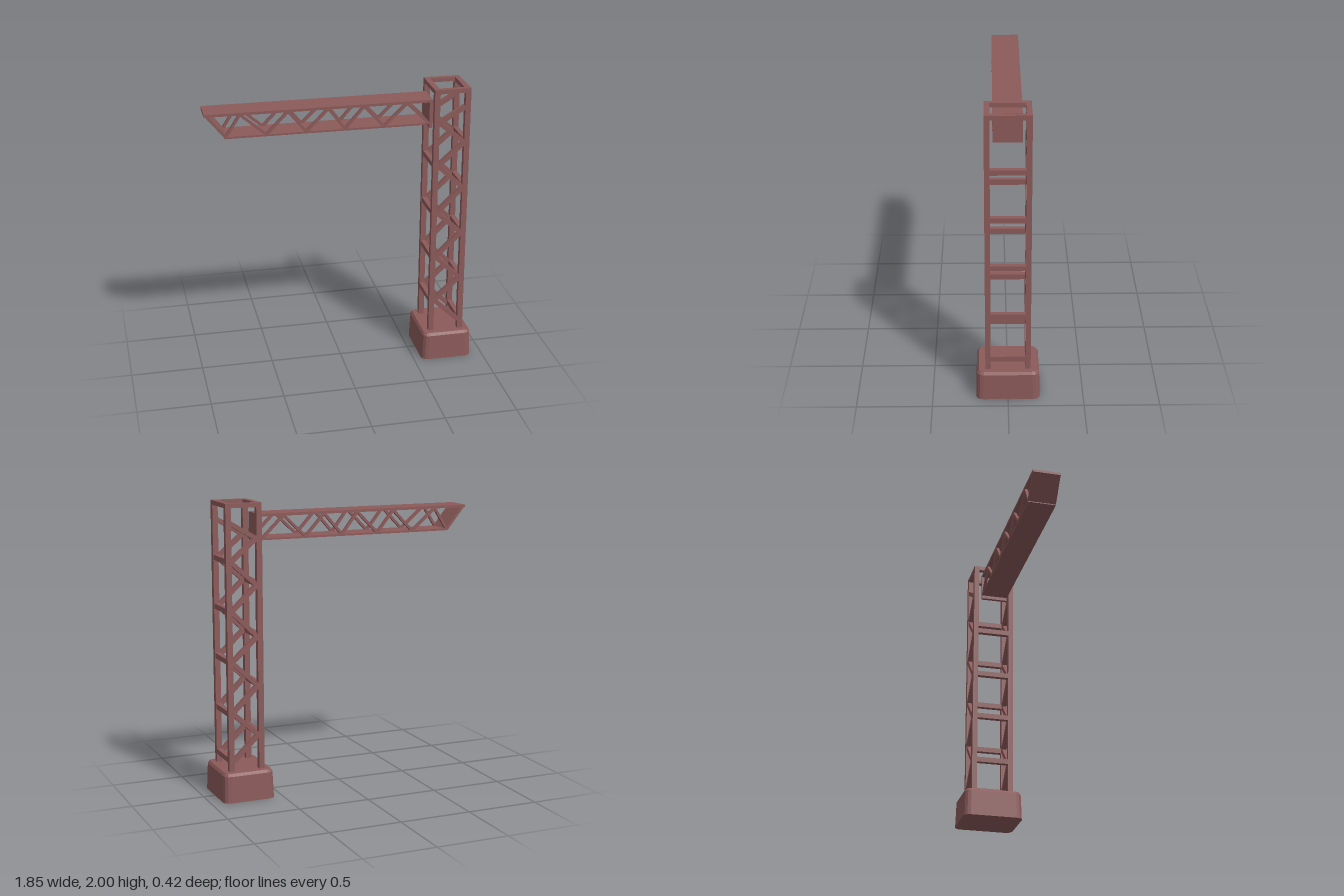
import * as THREE from 'three';
import { mergeVertices } from 'three/addons/utils/BufferGeometryUtils.js';

const material = new THREE.MeshStandardMaterial({ color: 0x8c5a5a, flatShading: true });

function box(parent, name, x0, x1, y0, y1, z0, z1) {
  const mesh = new THREE.Mesh(new THREE.BoxGeometry(x1 - x0, y1 - y0, z1 - z0), material);
  mesh.position.set((x0 + x1) / 2, (y0 + y1) / 2, (z0 + z1) / 2);
  mesh.name = name;
  parent.add(mesh);
  return mesh;
}

// Straight bar in a vertical plane, from point a to point b
function bar(parent, name, a, b, thickness, z, depth) {
  const dx = b[0] - a[0], dy = b[1] - a[1];
  const mesh = new THREE.Mesh(new THREE.BoxGeometry(Math.hypot(dx, dy), thickness, depth), material);
  mesh.position.set((a[0] + b[0]) / 2, (a[1] + b[1]) / 2, z);
  mesh.rotation.z = Math.atan2(dy, dx);
  mesh.name = name;
  parent.add(mesh);
}

// Bars joining consecutive nodes, mirrored front and back
function zigzag(parent, name, nodes, thickness, z, depth) {
  for (const side of [-1, 1])
    for (let i = 0; i < nodes.length - 1; i++)
      bar(parent, name, nodes[i], nodes[i + 1], thickness, side * z, depth);
}

// Tapered block with rounded corners, lofted through [y, halfX, halfZ, radius]
function blockGeometry(rings) {
  const steps = 3, n = 4 * (steps + 1), pos = [], index = [];
  for (const [y, hx, hz, r] of rings)
    for (let c = 0; c < 4; c++)
      for (let s = 0; s <= steps; s++) {
        const a = (c + s / steps) * Math.PI / 2;
        const sx = c === 0 || c === 3 ? 1 : -1, sz = c < 2 ? 1 : -1;
        pos.push(sx * (hx - r) + r * Math.cos(a), y, sz * (hz - r) + r * Math.sin(a));
      }
  for (let k = 0; k < rings.length - 1; k++)
    for (let i = 0; i < n; i++) {
      const a = k * n + i, b = k * n + (i + 1) % n;
      index.push(a, a + n, b, b, a + n, b + n);
    }
  const top = (rings.length - 1) * n;
  for (let i = 1; i < n - 1; i++) {
    index.push(0, i, i + 1);
    index.push(top, top + i + 1, top + i);
  }
  const g = new THREE.BufferGeometry();
  g.setAttribute('position', new THREE.Float32BufferAttribute(pos, 3));
  g.setIndex(index);
  const merged = mergeVertices(g);
  merged.computeVertexNormals();
  return merged;
}

function createTower() {
  const tower = new THREE.Group();
  tower.name = 'tower';
  const xs = [[0.612, 0.65], [0.825, 0.863]], zi = 0.114, zo = 0.15;

  // Four corner posts and the top frame
  for (const [x0, x1] of xs) {
    box(tower, 'post', x0, x1, 0.18, 2, zi, zo);
    box(tower, 'post', x0, x1, 0.18, 2, -zo, -zi);
    box(tower, 'topFrame', x0, x1, 1.97, 2, -zi, zi);
  }
  for (const s of [-1, 1])
    box(tower, 'topFrame', 0.65, 0.825, 1.97, 2, s > 0 ? zi : -zo, s > 0 ? zo : -zi);

  // Diagonal lattice on the front and back faces
  const heights = [0.265, 0.435, 0.6, 0.775, 0.945, 1.11, 1.285, 1.455, 1.615, 1.765, 1.87];
  const nodes = heights.map((y, i) => [i % 2 ? 0.65 : 0.828, y]);
  zigzag(tower, 'towerDiagonal', nodes, 0.03, 0.132, 0.034);

  // Cross rungs at the nodes, alternating between the two side faces
  [0.275, 0.435, 0.595, 0.775, 0.95, 1.11, 1.29, 1.46, 1.62].forEach((y, i) => {
    const [x0, x1] = xs[i % 2 ? 0 : 1];
    box(tower, 'rung', x0 + 0.002, x1 - 0.002, y - 0.018, y + 0.018, -zi, zi);
  });
  return tower;
}

function createJib() {
  const jib = new THREE.Group();
  jib.name = 'jib';
  const w = 0.096;
  box(jib, 'topPlate', -0.925, 0.615, 1.9, 1.918, -w, w);
  box(jib, 'bottomPlate', -0.795, 0.6, 1.744, 1.757, -w, w);
  box(jib, 'mountPlate', 0.592, 0.616, 1.72, 1.917, -w, w);
  // Sloped plate closing the free end
  bar(jib, 'endPlate', [-0.91, 1.906], [-0.785, 1.752], 0.018, 0, 2 * w);
  // Lattice along both sides
  const xs = [-0.785, -0.69, -0.515, -0.37, -0.25, -0.1, 0.013, 0.143, 0.28, 0.436, 0.59];
  const nodes = xs.map((x, i) => [x, i % 2 ? 1.903 : 1.754]);
  zigzag(jib, 'jibDiagonal', nodes, 0.018, w - 0.011, 0.02);
  return jib;
}

export function createModel() {
  const model = new THREE.Group();
  model.name = 'towerCrane';

  const base = new THREE.Mesh(blockGeometry([
    [0, 0.182, 0.212, 0.045],
    [0.182, 0.175, 0.206, 0.045],
    [0.2, 0.162, 0.192, 0.035],
  ]), material);
  base.position.x = 0.738;
  base.name = 'base';

  model.add(base, createTower(), createJib());
  return model;
}
